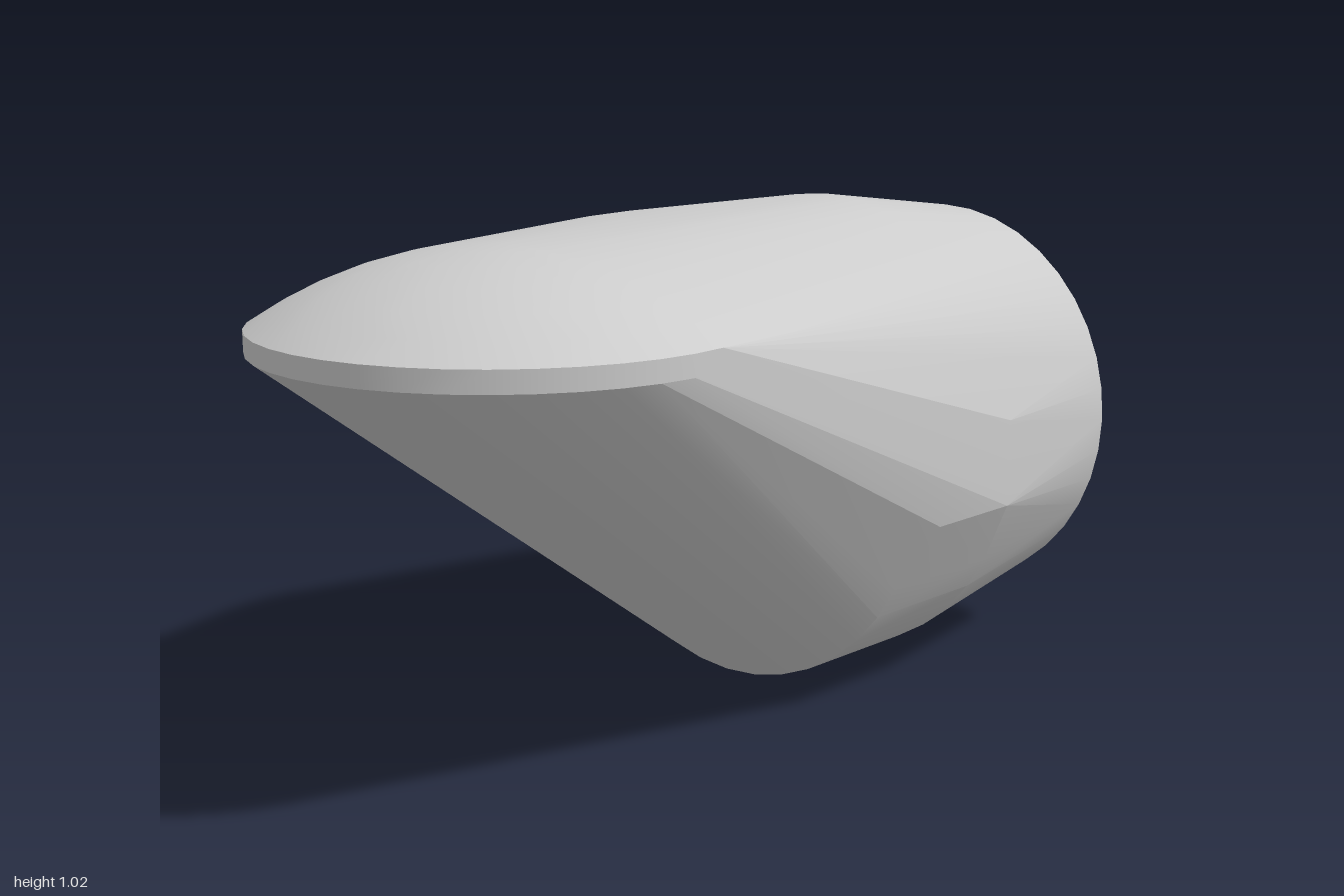
import * as THREE from 'three';
import { ConvexGeometry } from 'three/addons/geometries/ConvexGeometry.js';
import { toCreasedNormals } from 'three/addons/utils/BufferGeometryUtils.js';

const V = (x, y, z) => new THREE.Vector3(x, y, z);

// upright circle of points facing along x
function ring(x, y, z, r, n = 40) {
  return Array.from({ length: n }, (_, i) => {
    const a = (i / n) * Math.PI * 2;
    return V(x, y + r * Math.cos(a), z + r * Math.sin(a));
  });
}

// shallow spherical cap with a thin straight rim
function cap(cx, cz, r, rimLow, rimHigh, top, n = 40) {
  const h = top - rimHigh;
  const R = (r * r + h * h) / (2 * h);
  const pts = [V(cx, top, cz)];
  const level = (rad, y) => {
    for (let i = 0; i < n; i++) {
      const a = (i / n) * Math.PI * 2;
      pts.push(V(cx + rad * Math.cos(a), y, cz + rad * Math.sin(a)));
    }
  };
  level(r, rimLow);
  for (const f of [1, 0.88, 0.74, 0.58, 0.4, 0.2]) {
    level(r * f, top - R + Math.sqrt(R * R - r * r * f * f));
  }
  return pts;
}

export function createModel() {
  const group = new THREE.Group();
  const points = [
    // domed nose and the matching dome further back
    ...cap(-0.54, 0.12, 0.46, 0.84, 0.88, 1.02),
    ...cap(0.02, -0.04, 0.46, 0.84, 0.88, 1.02),
    // round barrel
    ...ring(0.22, 0.51, -0.04, 0.51),
    ...ring(0.53, 0.51, -0.04, 0.51),
    // gently domed end
    ...ring(0.96, 0.515, -0.03, 0.45),
    ...ring(0.975, 0.515, -0.03, 0.437),
    ...ring(1, 0.515, -0.03, 0.305),
  ];
  // flat side bulges
  for (const side of [-1, 1]) {
    for (const x of [0.25, 0.48]) {
      for (const y of [0.42, 0.6]) points.push(V(x, y, -0.04 + side * 0.54));
    }
  }

  // taut skin over all the sections
  const geometry = toCreasedNormals(new ConvexGeometry(points), 0.2);
  const body = new THREE.Mesh(geometry, new THREE.MeshStandardMaterial({ color: 0xcccccc }));
  body.name = 'body';
  group.add(body);
  return group;
}
